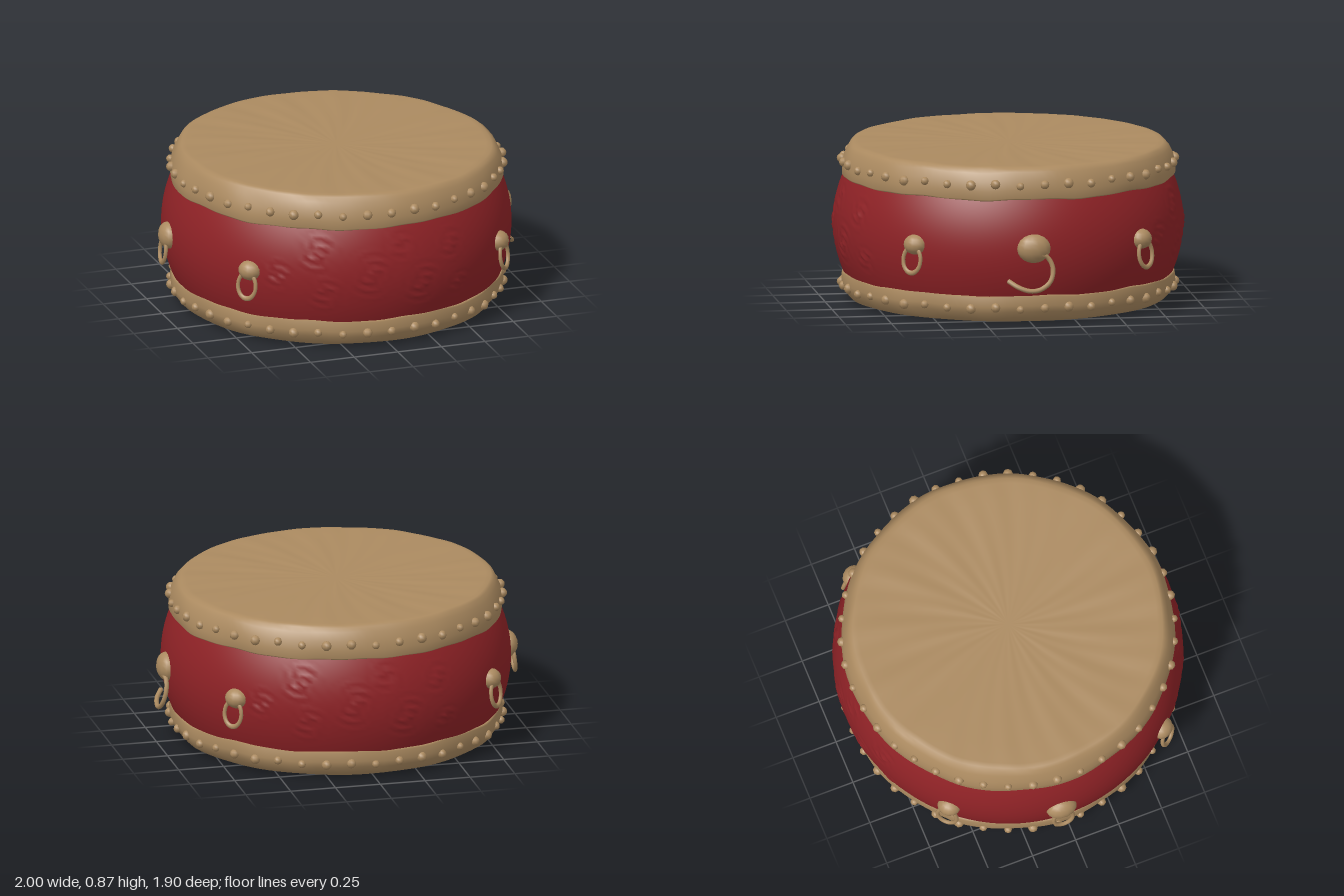
import * as THREE from 'three';
import { mergeVertices } from 'three/addons/utils/BufferGeometryUtils.js';

const hide = new THREE.MeshStandardMaterial({ color: 0xab8a60 });
hide.name = 'tanHide';
const lacquer = new THREE.MeshStandardMaterial({ color: 0x8f2226 });
lacquer.name = 'redLacquer';

function add(parent, name, geometry, material) {
  const mesh = new THREE.Mesh(geometry, material);
  mesh.name = name;
  parent.add(mesh);
  return mesh;
}

// Seamless lathe whose vertices are then moved by rule(vertex, angle, radius)
function turned(profile, segments, rule) {
  const points = profile.map(([r, y]) => new THREE.Vector2(r, y));
  let geo = new THREE.LatheGeometry(points, segments);
  geo.deleteAttribute('uv');
  geo.deleteAttribute('normal');
  geo = mergeVertices(geo, 1e-4);
  const pos = geo.attributes.position;
  const v = new THREE.Vector3();
  for (let i = 0; i < pos.count; i++) {
    v.fromBufferAttribute(pos, i);
    rule(v, Math.atan2(v.x, v.z), Math.hypot(v.x, v.z));
    pos.setXYZ(i, v.x, v.y, v.z);
  }
  geo.computeVertexNormals();
  return geo;
}

const bodyRadius = (y) => 0.948 - 0.062 * ((y - 0.42) / 0.28) ** 2;

// Carved flowers: [offset along the shell, height, size], on the front and back
const roses = [
  [0.17, 0.36, 0.15], [-0.12, 0.43, 0.16], [-0.38, 0.33, 0.12], [0.05, 0.58, 0.1],
  [-0.42, 0.56, 0.13], [0.36, 0.54, 0.11], [-0.64, 0.42, 0.1], [0.42, 0.3, 0.09],
];
function relief(angle, y) {
  let lift = 0;
  for (const facing of [0, Math.PI]) {
    for (const [s, cy, size] of roses) {
      let da = angle - facing;
      da = Math.atan2(Math.sin(da), Math.cos(da));
      const dx = da * 0.94 - s, dy = y - cy;
      const d = Math.hypot(dx, dy);
      if (d < size) {
        lift += 0.009 * (1 - d / size) * Math.sin(d * 130 + Math.atan2(dy, dx) * 2);
      }
    }
  }
  return lift;
}

function makeBody() {
  const profile = [];
  for (let i = 0; i <= 36; i++) {
    const y = 0.12 + (0.6 * i) / 36;
    profile.push([bodyRadius(y), y]);
  }
  return turned(profile, 220, (v, angle, r) => {
    const k = (r + relief(angle, v.y)) / r;
    v.x *= k;
    v.z *= k;
  });
}

// Uneven hem and slight waviness shared by both skins
function ruffle(v, angle, r) {
  const k = 1 + 0.004 * Math.sin(angle * 11 + v.y * 9) * (r > 0.8 ? 1 : 0);
  v.x *= k;
  v.z *= k;
  if (r > 0.86) v.y += 0.004 * Math.sin(angle * 9) + 0.002 * Math.sin(angle * 23);
}

function makeTopSkin() {
  const profile = [
    [0.87, 0.69], [0.895, 0.682], [0.902, 0.69], [0.903, 0.735], [0.893, 0.785],
    [0.872, 0.83], [0.855, 0.854], [0.838, 0.863], [0.81, 0.865], [0.7, 0.864],
    [0.55, 0.862], [0.4, 0.86], [0.25, 0.858], [0.1, 0.857], [0, 0.857],
  ];
  return turned(profile, 120, (v, angle, r) => {
    if (v.y > 0.84) {
      // Tension creases running out from the centre, and a slight tilt
      const edge = Math.min(1, (0.87 - r) * 8);
      const fold = Math.sin(angle * 13 + r * 4) + 0.7 * Math.sin(angle * 29 - r * 6);
      v.y += 0.0035 * r * edge * fold;
      v.y -= 0.009 * v.x;
    }
    ruffle(v, angle, r);
  });
}

function makeBottomSkin() {
  const profile = [
    [0, 0], [0.4, 0.002], [0.8, 0.008], [0.84, 0.01], [0.852, 0.014], [0.868, 0.03],
    [0.893, 0.066], [0.903, 0.1], [0.9, 0.15], [0.893, 0.158], [0.86, 0.155],
  ];
  return turned(profile, 120, ruffle);
}

// A row of domed tacks around a skin
function addStuds(parent, name, y, radius) {
  const row = new THREE.Group();
  row.name = name;
  const geo = new THREE.SphereGeometry(0.027, 8, 6);
  const count = 42;
  for (let i = 0; i < count; i++) {
    const a = (i / count) * Math.PI * 2;
    const stud = add(row, 'stud', geo, hide);
    stud.position.set(radius * Math.sin(a), y + 0.006 * Math.sin(i * 2.3), radius * Math.cos(a));
    stud.rotation.y = a;
    stud.scale.setScalar(0.92 + 0.14 * Math.sin(i * 1.7));
  }
  parent.add(row);
}

// A domed boss; local +z points out of the shell
function makeHandle(x, z, size) {
  const handle = new THREE.Group();
  handle.name = 'handle';
  const a = Math.atan2(x, z);
  handle.position.set(0.94 * Math.sin(a), 0.42, 0.94 * Math.cos(a));
  handle.rotation.y = a;
  const boss = add(handle, 'boss', new THREE.SphereGeometry(0.062 * size, 14, 10), hide);
  boss.scale.set(1, 0.85, 0.95 / size);
  boss.position.y = 0.005;
  return handle;
}

export function createModel() {
  const drum = new THREE.Group();
  drum.name = 'drum';
  add(drum, 'body', makeBody(), lacquer);
  add(drum, 'topSkin', makeTopSkin(), hide);
  add(drum, 'bottomSkin', makeBottomSkin(), hide);
  addStuds(drum, 'topStuds', 0.765, 0.9);
  addStuds(drum, 'bottomStuds', 0.088, 0.9);

  // Handles with closed pull rings
  const ringGeo = new THREE.TorusGeometry(0.055, 0.011, 8, 24);
  for (const [x, z, size] of [
    [0.73, 0.63, 1.05], [-0.73, 0.63, 1.05], [0.73, -0.64, 1.05], [-0.73, -0.64, 1.05], [-0.96, -0.06, 1.4],
  ]) {
    const handle = makeHandle(x, z, size);
    const ring = add(handle, 'pullRing', ringGeo, hide);
    ring.position.set(0, -0.075, 0.035);
    ring.scale.set(1, 1.3, 1);
    ring.rotation.x = -0.12;
    drum.add(handle);
  }

  // Left handle, with a wide open ring swung away from the shell
  const handle = makeHandle(1, 0, 1.5);
  const path = new THREE.CatmullRomCurve3([
    [-0.01, -0.02, 0.04], [-0.07, -0.04, 0.025], [-0.1, -0.1, 0.03], [-0.085, -0.17, 0.045],
    [-0.03, -0.213, 0.052], [0.03, -0.22, 0.05], [0.09, -0.2, 0.035], [0.14, -0.17, 0.0],
  ].map((p) => new THREE.Vector3(-p[0], p[1], p[2])));
  add(handle, 'openPullRing', new THREE.TubeGeometry(path, 32, 0.013, 8), hide);
  drum.add(handle);
  return drum;
}
